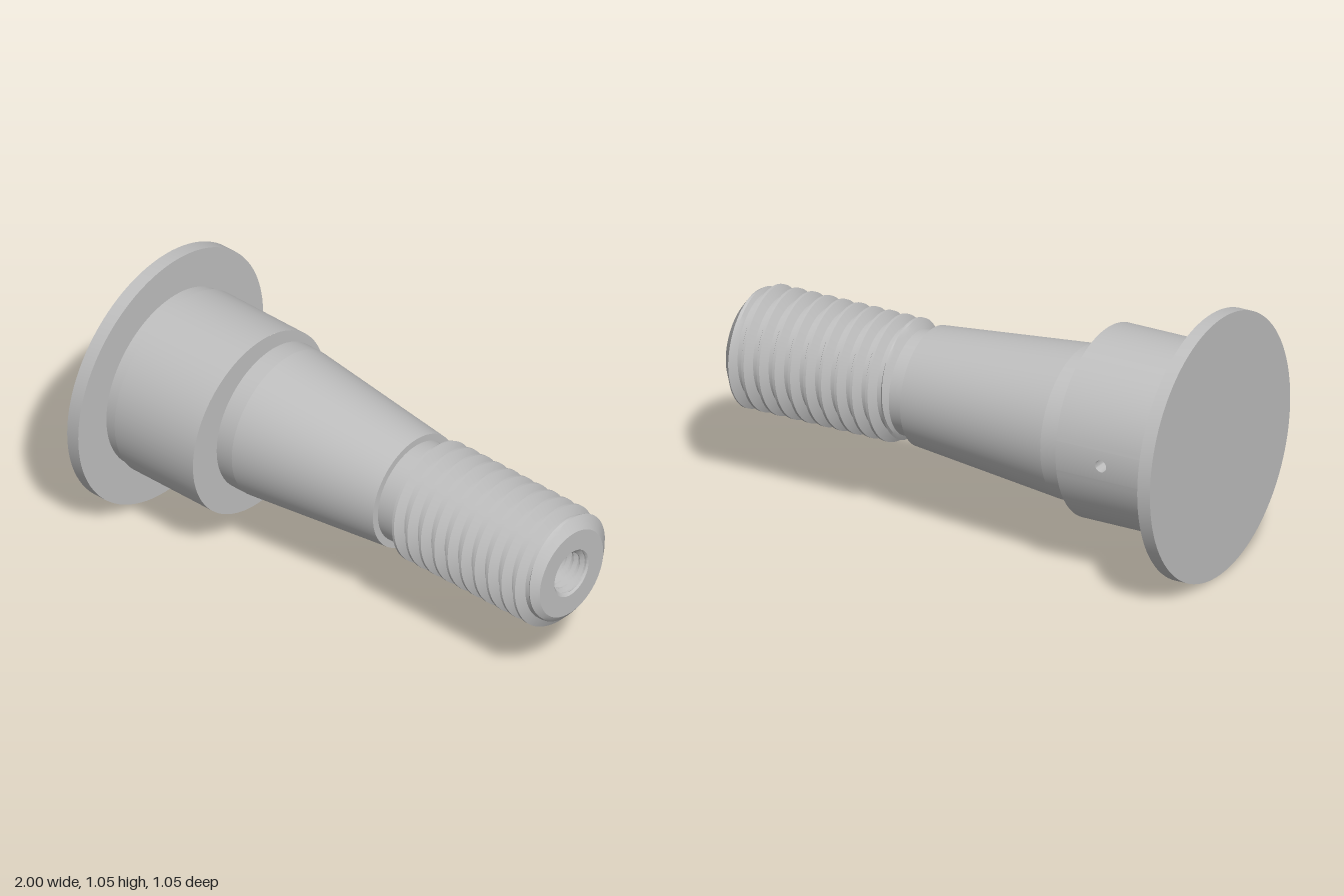
import * as THREE from 'three';
import { toCreasedNormals } from 'three/addons/utils/BufferGeometryUtils.js';

const SEG = 96;
const AXIS_Y = 0.525; // height of the flange axis
const OFFSET_Z = -0.06; // eccentric axis of the taper and thread

const steel = new THREE.MeshStandardMaterial({ color: 0xbfbfbf });
steel.name = 'steel grey';

function add(group, name, geometry) {
  const mesh = new THREE.Mesh(geometry, steel);
  mesh.name = name;
  group.add(mesh);
  return mesh;
}

// Turned part along x, from [x, radius] points
function turned(points, start = 0, length = Math.PI * 2) {
  const profile = points.map(([x, r]) => new THREE.Vector2(r, x));
  const geo = new THREE.LatheGeometry(profile, SEG, start, length);
  geo.rotateZ(-Math.PI / 2);
  return toCreasedNormals(geo, 0.09);
}

// Indexed grid; point(row, column) gives [x, y, z]
function grid(rows, cols, point, flip) {
  const pos = [], index = [];
  for (let j = 0; j <= rows; j++) {
    for (let i = 0; i <= cols; i++) {
      pos.push(...point(j, i));
      if (j < rows && i < cols) {
        const a = j * (cols + 1) + i, b = a + 1, c = a + cols + 1, d = c + 1;
        if (flip) index.push(a, c, b, b, c, d);
        else index.push(a, b, c, b, d, c);
      }
    }
  }
  const geo = new THREE.BufferGeometry();
  geo.setAttribute('position', new THREE.Float32BufferAttribute(pos, 3));
  geo.setIndex(index);
  geo.computeVertexNormals();
  return geo;
}

// Right-hand helical thread between x0 and x1, trimmed by limit(x, r)
function thread(x0, x1, pitch, root, crest, limit, inward) {
  const knots = [0, 0.13, 0.26, 0.405, 0.55, 0.63, 0.71, 0.855];
  const radius = (f) => {
    const t = f < 0.26 ? 0 : f < 0.55 ? (f - 0.26) / 0.29 : f < 0.71 ? 1 : (1 - f) / 0.29;
    return root + (crest - root) * t;
  };
  const turns = Math.ceil((x1 - x0) / pitch) + 1;
  const geo = grid(turns * knots.length, SEG, (j, i) => {
    const k = Math.floor(j / knots.length) - 1;
    const raw = x0 + pitch * (k + knots[j % knots.length] + i / SEG);
    const x = THREE.MathUtils.clamp(raw, x0, x1);
    const f = (x - x0) / pitch - i / SEG;
    const r = limit(x, radius(f - Math.floor(f + 1e-6)));
    const a = (i % SEG) / SEG * Math.PI * 2;
    return [x, -r * Math.sin(a), r * Math.cos(a)];
  }, inward);
  return toCreasedNormals(geo, 0.4);
}

// Flange, relief groove and drum with a radial hole in its back
function buildHead() {
  const head = new THREE.Group();
  head.name = 'flangedHead';
  const R = 0.375, X0 = -0.895, X1 = -0.505, gap = 0.16, hole = 0.024;
  const mid = (X0 + X1) / 2;

  add(head, 'flange', turned([[-1, 0], [-1, 0.525], [-0.945, 0.525], [-0.945, 0.365]]));
  add(head, 'reliefGroove', turned([[-0.945, 0.365], [X0, 0.365], [X0, R]]));
  add(head, 'drumWall', turned([[X0, R], [X1, R]], Math.PI + gap, Math.PI * 2 - gap * 2));
  add(head, 'drumFace', turned([[X1, R], [X1, 0]]));

  // Curved patch that closes the wall around the round opening
  const patch = grid(6, 48, (j, i) => {
    const t = i / 48 * Math.PI * 2, c = Math.cos(t), s = Math.sin(t);
    const m = Math.max(Math.abs(c), Math.abs(s)), k = j / 6;
    const x = THREE.MathUtils.lerp(hole * c, (X1 - X0) / 2 * c / m, k);
    const a = THREE.MathUtils.lerp(hole / R * s, gap * s / m, k);
    return [mid + x, R * Math.sin(a), -R * Math.cos(a)];
  });
  const p = patch.attributes.position, n = patch.attributes.normal;
  for (let i = 0; i < p.count; i++) n.setXYZ(i, 0, p.getY(i) / R, p.getZ(i) / R);
  add(head, 'drumHolePatch', patch);

  // Bore of the radial hole, a blind pocket
  const bore = new THREE.LatheGeometry([
    new THREE.Vector2(hole, 0.3748), new THREE.Vector2(hole, 0.12), new THREE.Vector2(0, 0.11),
  ], 32);
  bore.rotateX(-Math.PI / 2);
  add(head, 'radialHoleBore', toCreasedNormals(bore, 0.4)).position.x = mid;
  return head;
}

// Tapered seat, neck, screw thread and tapped end
function buildShank() {
  const shank = new THREE.Group();
  shank.name = 'eccentricShank';
  shank.position.z = OFFSET_Z;

  add(shank, 'taper', turned([
    [-0.505, 0.3], [-0.43, 0.3], [0.215, 0.233], [0.215, 0.205], [0.285, 0.205],
  ]));

  const chamfer = (x, r) =>
    Math.min(r, 0.18 + (1 - x) * 1.35, 0.205 + (x - 0.28) * 1.8);
  add(shank, 'screwThread', thread(0.28, 1, 0.067, 0.205, 0.242, chamfer, false));

  add(shank, 'endFace', turned([[1, 0.18], [1, 0.097]]));

  const countersink = (x, r) => Math.max(r, 0.097 - (1 - x));
  add(shank, 'tappedHole', thread(0.65, 1, 0.032, 0.091, 0.075, countersink, true));
  add(shank, 'tappedHoleBottom', turned([[0.65, 0.092], [0.61, 0]]));
  return shank;
}

export function createModel() {
  const model = new THREE.Group();
  model.name = 'eccentricStud';
  const body = new THREE.Group();
  body.name = 'studBody';
  body.position.y = AXIS_Y;
  body.add(buildHead(), buildShank());
  model.add(body);
  return model;
}
